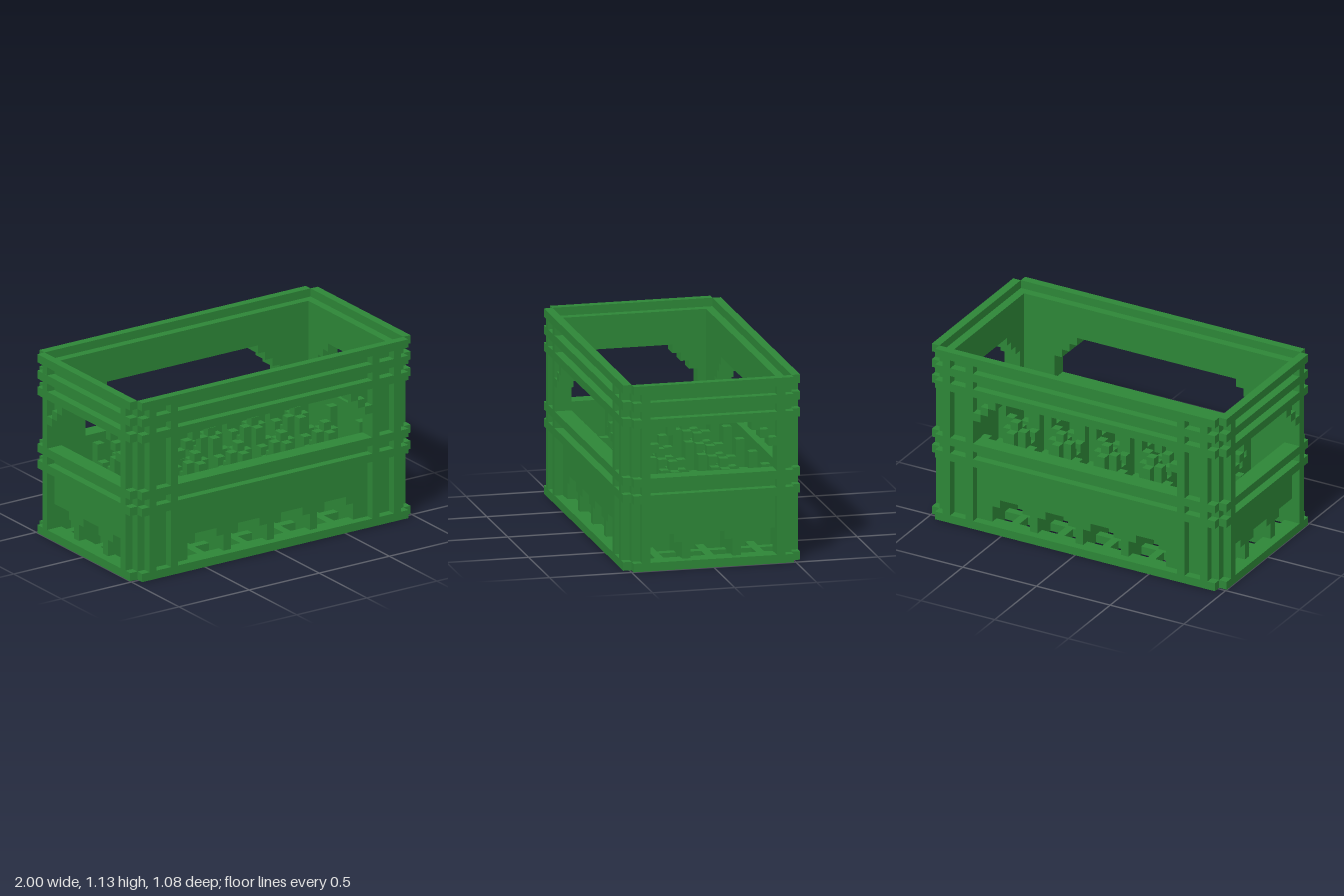
import * as THREE from 'three';

const U = 2 / 39;              // one block of the stepped grid
const W = 39, D = 21;          // crate size in blocks (22 high)

const green = new THREE.MeshStandardMaterial({ color: 0x2d8637 });
green.name = 'crateGreen';

function box(parent, name, x0, x1, y0, y1, z0, z1) {
  const mesh = new THREE.Mesh(new THREE.BoxGeometry(x1 - x0, y1 - y0, z1 - z0), green);
  mesh.position.set((x0 + x1) / 2, (y0 + y1) / 2, (z0 + z1) / 2);
  mesh.name = name;
  parent.add(mesh);
}

const toPoints = (list) => list.map(([x, y]) => new THREE.Vector2(x, y));

function slab(parent, name, outline, holes = []) {
  const shape = new THREE.Shape(toPoints(outline));
  holes.forEach((h) => shape.holes.push(new THREE.Path(toPoints(h))));
  const mesh = new THREE.Mesh(
    new THREE.ExtrudeGeometry(shape, { depth: 1, bevelEnabled: false }), green);
  mesh.name = name;
  parent.add(mesh);
  return mesh;
}

// Handle opening with stepped upper corners, from block e to L - e
function handleHole(L, e) {
  const left = [[e, 11], [e, 14], [e + 1, 14], [e + 1, 15], [e + 2, 15],
    [e + 2, 16], [e + 3, 16], [e + 3, 17]];
  const right = left.map(([x, y]) => [L - x, y]).reverse();
  return [...left, ...right];
}

// Drain arch for the cell starting at block c, clipped to the range lo..hi
function drainHole(c, lo, hi) {
  const clip = (x) => Math.min(hi, Math.max(lo, x));
  const pts = [[c, 1], [c, 3], [c + 1, 3], [c + 1, 4], [c + 4, 4], [c + 4, 3], [c + 5, 3], [c + 5, 1]]
    .map(([x, y]) => [clip(x), y]);
  return pts.filter((p, i) => i === 0 || p[0] !== pts[i - 1][0] || p[1] !== pts[i - 1][1]);
}

// One side of the crate; x runs 0..L, the outer face is at z = 0, inner at z = -2
function sidePanel(name, L, e, inset, ribs, drains) {
  const panel = new THREE.Group();
  panel.name = name;
  const a = inset, b = L - inset;
  const wall = slab(panel, 'wall', [[a, 0], [b, 0], [b, 21], [a, 21]],
    [handleHole(L, e), ...drains.map((c) => drainHole(c, 3, L - 3))]);
  wall.position.z = -2;
  // horizontal ribs
  for (const y of [0, 8, 10, 17, 19, 21]) box(panel, 'horizontalRib', 1, L - 1, y, y + 1, -1, 0);
  // upright ribs between them
  for (const r of ribs) {
    for (const x of [r, L - 1 - r]) box(panel, 'uprightRib', x, x + 1, 0, 22, -1, 0);
  }
  // stepped edging around the handle opening
  for (let i = 0; i < 3; i++) {
    for (const x of [e + i, L - 1 - e - i]) box(panel, 'handleStep', x, x + 1, 14 + i, 15 + i, -1, 0);
  }
  return panel;
}

// Divider with a stepped dip in every bottle cell
function divider(parent, name, cells) {
  const heights = [10, 8, 7, 8, 10];
  const end = 1 + cells * 6;
  const outline = [[2, 1], [end, 1]];
  for (let x = end - 1; x >= 2; x--) {
    const k = (x - 2) % 6;
    const h = k === 5 ? 11 : heights[k];
    const last = outline[outline.length - 1];
    if (last[1] === h) last[0] = x;
    else outline.push([x + 1, h], [x, h]);
  }
  return slab(parent, name, outline);
}

export function createModel() {
  const model = new THREE.Group();
  model.name = 'bottleCrate';
  const crate = new THREE.Group();
  crate.name = 'crateBody';
  crate.scale.setScalar(U);
  crate.position.set(-1, 0, -D * U / 2);
  model.add(crate);

  // four side panels
  const longDrains = [8, 14, 20, 26], shortDrains = [2, 8, 14];
  const front = sidePanel('frontPanel', W, 6, 1, [2, 5], longDrains);
  front.position.z = D;
  const back = sidePanel('backPanel', W, 6, 1, [2, 5], longDrains);
  back.rotation.y = Math.PI;
  back.position.x = W;
  const left = sidePanel('leftPanel', D, 3, 2, [2], shortDrains);
  left.rotation.y = Math.PI / 2;
  left.position.set(W, 0, D);
  const right = sidePanel('rightPanel', D, 3, 2, [2], shortDrains);
  right.rotation.y = -Math.PI / 2;
  crate.add(front, back, left, right);

  // floor grid
  const floor = new THREE.Group();
  floor.name = 'floorGrid';
  for (let x = 4; x < 37; x += 3) box(floor, 'floorBar', x, x + 1, 0, 1, 2, D - 2);
  for (let z = 4; z < 19; z += 3) box(floor, 'floorCrossBar', 2, W - 2, 0, 1, z, z + 1);
  crate.add(floor);

  // bottle dividers, six cells by three
  const dividers = new THREE.Group();
  dividers.name = 'bottleDividers';
  for (const z of [7, 13]) divider(dividers, 'longDivider', 6).position.z = z;
  for (let x = 7; x < 37; x += 6) {
    const d = divider(dividers, 'crossDivider', 3);
    d.rotation.y = -Math.PI / 2;
    d.position.x = x + 1;
  }
  crate.add(dividers);

  return model;
}
